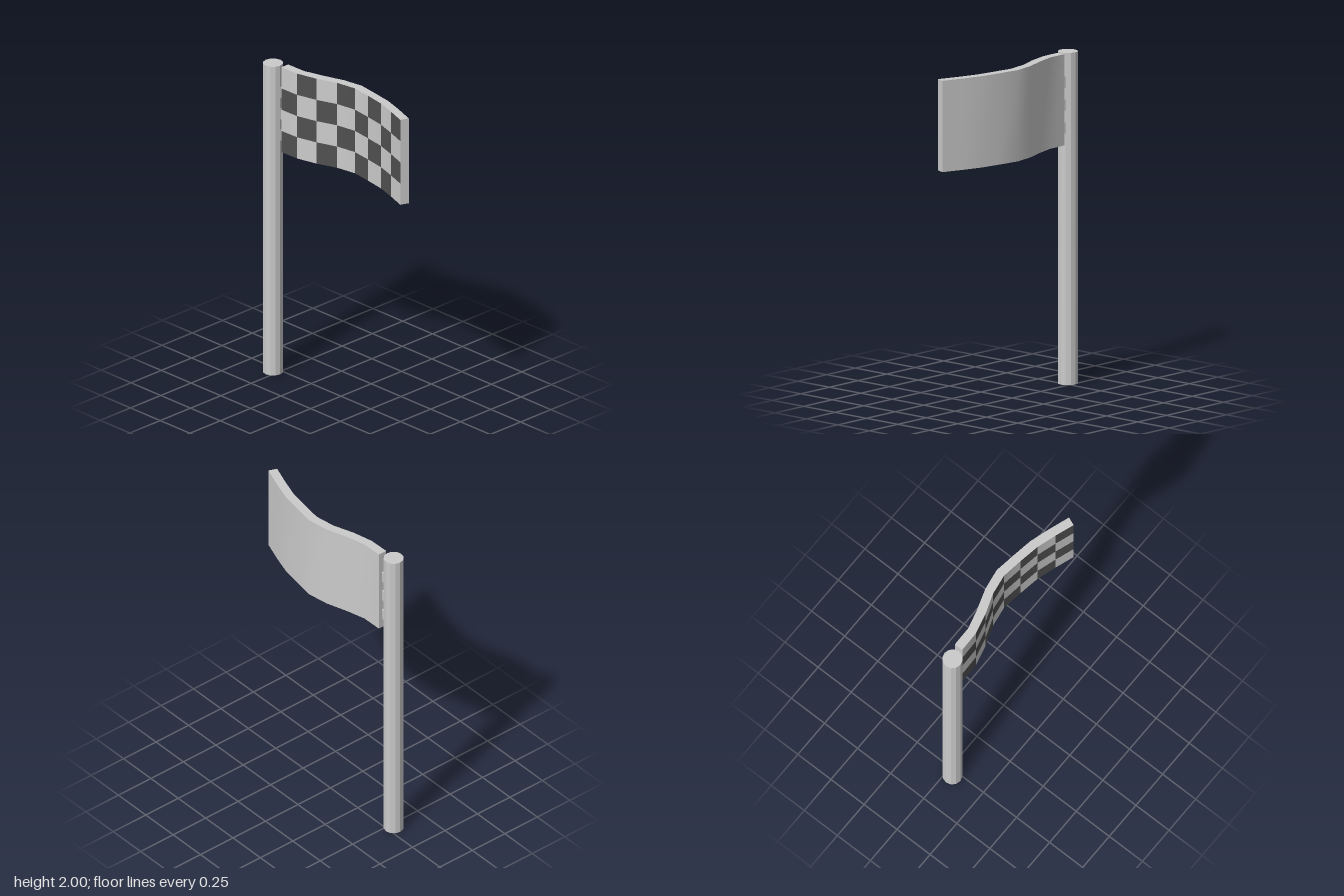
import * as THREE from 'three';

const GREY = 0xcccccc, DARK = 0x505050;
const BOTTOM = 1.45, TOP = 2;

// Wavy cloth seen from above: [x, z] along the front and back faces
const FRONT = [[-0.45, 0.05], [-0.32, 0.047], [-0.19, 0.016], [-0.062, -0.03], [0.066, -0.05],
  [0.196, -0.032], [0.328, -0.01], [0.45, 0.028], [0.57, 0.07]];
const BACK = [[-0.45, -0.006], [-0.32, -0.008], [-0.2, -0.04], [-0.064, -0.085], [0.067, -0.106],
  [0.204, -0.086], [0.33, -0.066], [0.455, -0.028], [0.59, 0.019]];

const material = (color, flatShading = false) => new THREE.MeshStandardMaterial({ color, flatShading });
const atHeight = (outline, y) => outline.map(([x, z]) => new THREE.Vector3(x, y, z));

// Sheet spanned from polyline a up to polyline b; keep(col, row) picks the cells to draw
function sheet(a, b, rows = 1, keep = () => true) {
  const positions = [], all = [], kept = [], n = a.length;
  for (let r = 0; r <= rows; r++) {
    for (let c = 0; c < n; c++) positions.push(...a[c].clone().lerp(b[c], r / rows).toArray());
  }
  for (let r = 0; r < rows; r++) {
    for (let c = 0; c < n - 1; c++) {
      const p = r * n + c;
      const cell = [p, p + 1, p + n + 1, p, p + n + 1, p + n];
      all.push(...cell);
      if (keep(c, r)) kept.push(...cell);
    }
  }
  const geometry = new THREE.BufferGeometry();
  geometry.setAttribute('position', new THREE.Float32BufferAttribute(positions, 3));
  geometry.setIndex(all);
  geometry.computeVertexNormals(); // smooth across the whole sheet
  geometry.setIndex(kept);
  return geometry;
}

export function createModel() {
  const model = new THREE.Group();
  model.name = 'checkeredFlag';
  const add = (parent, name, geometry, mat) => {
    const mesh = new THREE.Mesh(geometry, mat);
    mesh.name = name;
    parent.add(mesh);
    return mesh;
  };

  // Twelve-sided pole
  add(model, 'pole', new THREE.CylinderGeometry(0.06, 0.06, TOP, 12), material(GREY, true))
    .position.set(-0.53, TOP / 2, 0.04);

  // Thick cloth with a checkered front
  const cloth = new THREE.Group();
  cloth.name = 'cloth';
  model.add(cloth);
  const grey = material(GREY);
  const fb = atHeight(FRONT, BOTTOM), ft = atHeight(FRONT, TOP);
  const bb = atHeight(BACK, BOTTOM), bt = atHeight(BACK, TOP);
  const end = FRONT.length - 1;
  add(cloth, 'lightSquares', sheet(fb, ft, 4, (c, r) => (c + r) % 2 === 1), grey);
  add(cloth, 'darkSquares', sheet(fb, ft, 4, (c, r) => (c + r) % 2 === 0), material(DARK));
  add(cloth, 'clothBack', sheet(bt, bb), grey);
  add(cloth, 'clothTopEdge', sheet(ft, bt), grey);
  add(cloth, 'clothBottomEdge', sheet(bb, fb), grey);
  add(cloth, 'clothInnerEdge', sheet([bb[0], fb[0]], [bt[0], ft[0]]), grey);
  add(cloth, 'clothOuterEdge', sheet([fb[end], bb[end]], [ft[end], bt[end]]), grey);

  // Three tapered tabs joining the cloth to the pole
  const outline = new THREE.Shape([[-0.49, -0.042], [-0.448, -0.034], [-0.448, -0.018], [-0.49, -0.006]]
    .map(([x, y]) => new THREE.Vector2(x, y)));
  const tab = new THREE.ExtrudeGeometry(outline, { depth: 0.068, bevelEnabled: false });
  tab.rotateX(-Math.PI / 2);
  for (const y of [1.515, 1.653, 1.791]) {
    add(model, 'tab', tab, material(GREY, true)).position.y = y;
  }
  return model;
}
